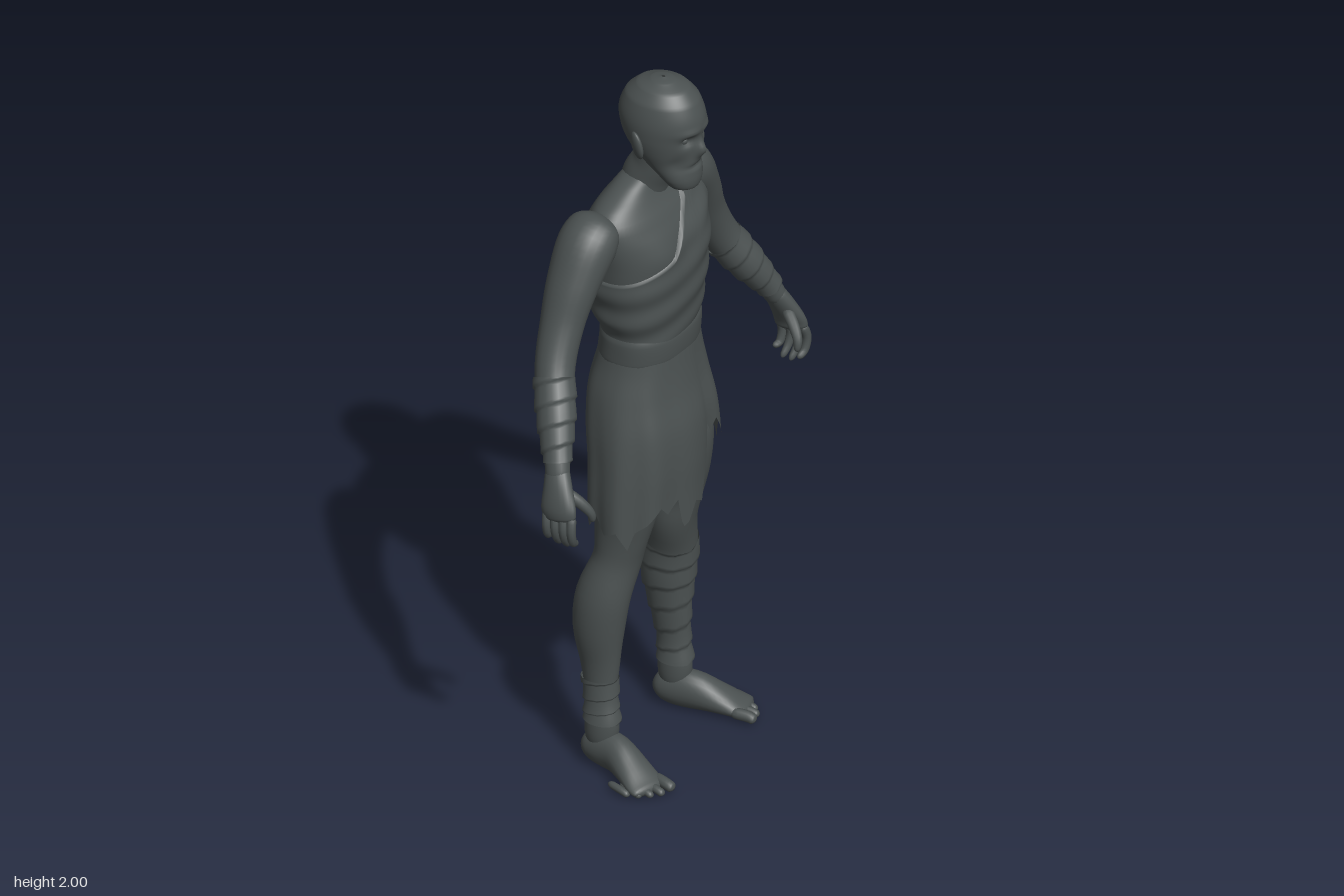
import * as THREE from 'three';

const stone = new THREE.MeshStandardMaterial({ color: 0x4b5151, side: THREE.DoubleSide });
stone.name = 'darkSlate';

// Closed surface: fn(angle, v) gives a point, rings run from v = 0 to v = 1
function surface(name, fn, nu, nv) {
  const pos = [], idx = [];
  for (let j = 0; j <= nv; j++)
    for (let i = 0; i < nu; i++) pos.push(...fn(-Math.PI + (i / nu) * Math.PI * 2, j / nv));
  for (let j = 0; j < nv; j++)
    for (let i = 0; i < nu; i++) {
      const k = (i + 1) % nu, a = j * nu + i, b = j * nu + k, c = a + nu, d = b + nu;
      idx.push(a, c, b, b, c, d);
    }
  const g = new THREE.BufferGeometry();
  g.setAttribute('position', new THREE.Float32BufferAttribute(pos, 3));
  g.setIndex(idx);
  g.computeVertexNormals();
  const m = new THREE.Mesh(g, stone);
  m.name = name;
  return m;
}

// Smooth interpolation of rows whose first column is the key
function sample(rows, y) {
  let i = 0;
  while (i < rows.length - 2 && y > rows[i + 1][0]) i++;
  const at = (k) => rows[Math.min(rows.length - 1, Math.max(0, k))];
  const t = THREE.MathUtils.clamp((y - rows[i][0]) / (rows[i + 1][0] - rows[i][0]), 0, 1);
  return rows[i].slice(1).map((_, n) => {
    const [p, a, b, q] = [at(i - 1), at(i), at(i + 1), at(i + 2)].map((r) => r[n + 1]);
    const v0 = (b - p) / 2, v1 = (q - a) / 2;
    return (2 * a - 2 * b + v0 + v1) * t ** 3 + (-3 * a + 3 * b - 2 * v0 - v1) * t * t + v0 * t + a;
  });
}

const linear = (rows, k) => {
  let i = 0;
  while (i < rows.length - 2 && k > rows[i + 1][0]) i++;
  const [a, b] = [rows[i], rows[i + 1]];
  return THREE.MathUtils.mapLinear(THREE.MathUtils.clamp(k, a[0], b[0]), a[0], b[0], a[1], b[1]);
};

// Point on a body whose rows are [height, back x, front x, half width]
function around(rows, th, y, off = 0, p = 0.88) {
  const [b, f, w] = sample(rows, y);
  const se = (t) => Math.sign(t) * Math.abs(t) ** p;
  return [(b + f) / 2 + ((f - b) / 2 + off) * se(Math.cos(th)), y, (w + off) * se(Math.sin(th))];
}

const bump = (d, s) => Math.exp(-((d / s) ** 2));

// Swept limb: points are [x, y, z, radius along ref, radius across]
function limb(name, pts, { ref = [1, 0, 0], s = 1, nu = 20, nv = 40, from = 0, to = 1, grow = 0, turns = 0, cap = 0.08 } = {}) {
  const path = new THREE.CatmullRomCurve3(pts.map((p) => new THREE.Vector3(p[0], p[1], p[2] * s)), false, 'catmullrom');
  const size = new THREE.CatmullRomCurve3(pts.map((p) => new THREE.Vector3(p[3], p[4], 0)), false, 'catmullrom');
  const round = (v) => (v < cap ? Math.sqrt(Math.max(0, 1 - (1 - v / cap) ** 2)) : 1);
  return surface(name, (th, v) => {
    const w = turns ? v : 0.5 - 0.5 * Math.cos(Math.PI * v);
    const t = from + (to - from) * w;
    const dir = path.getTangent(t), fwd = new THREE.Vector3(...ref);
    fwd.addScaledVector(dir, -fwd.dot(dir)).normalize();
    const side = fwd.clone().cross(dir), r = size.getPoint(t);
    const ridge = turns ? 0.006 * ((((w * turns + th / 6.2832) % 1) + 1) % 1) : 0;
    const e = turns ? 1 : round(w) * round(1 - w);
    return path.getPoint(t)
      .addScaledVector(fwd, (r.x + grow + ridge) * e * Math.cos(th))
      .addScaledVector(side, (r.y + grow + ridge) * e * Math.sin(th)).toArray();
  }, nu, nv);
}

const TORSO = [
  [0.9, -0.03, 0.0, 0.01], [0.92, -0.09, 0.06, 0.07], [0.98, -0.135, 0.09, 0.14], [1.1, -0.145, 0.085, 0.165],
  [1.2, -0.122, 0.076, 0.142], [1.26, -0.115, 0.078, 0.142], [1.33, -0.14, 0.088, 0.16], [1.42, -0.165, 0.095, 0.176],
  [1.5, -0.166, 0.09, 0.188], [1.57, -0.155, 0.074, 0.2], [1.62, -0.135, 0.05, 0.2], [1.655, -0.115, 0.028, 0.172],
  [1.685, -0.096, 0.015, 0.118], [1.705, -0.083, 0.01, 0.08], [1.72, -0.06, 0, 0.04]];
const SKIRT = [
  [0.68, -0.13, 0.12, 0.215], [0.8, -0.137, 0.122, 0.212], [0.9, -0.143, 0.125, 0.205], [1.0, -0.156, 0.12, 0.195],
  [1.1, -0.156, 0.1, 0.178], [1.2, -0.134, 0.088, 0.153], [1.25, -0.122, 0.084, 0.148]];
const HEAD = [
  [1.695, 0.08, 0.1, 0.005], [1.705, 0.045, 0.12, 0.042], [1.73, 0.02, 0.126, 0.058], [1.77, -0.03, 0.125, 0.071],
  [1.81, -0.07, 0.127, 0.084], [1.85, -0.092, 0.131, 0.092], [1.9, -0.1, 0.135, 0.093], [1.95, -0.082, 0.118, 0.081],
  [1.98, -0.05, 0.09, 0.057], [1.995, -0.012, 0.05, 0.027], [2.0, 0.015, 0.025, 0.004]];
// Ragged hem height by angle in degrees, with an open slit at the front
const HEM = [
  [-180, 0.73], [-165, 0.76], [-150, 0.72], [-135, 0.76], [-120, 0.73], [-105, 0.79], [-92, 0.77], [-75, 0.85], [-62, 0.82],
  [-50, 0.9], [-40, 0.88], [-28, 0.95], [-18, 0.93], [-14, 0.96], [-9, 0.84], [-4, 0.75], [2, 0.77], [8, 0.72], [13, 0.71],
  [18, 0.8], [28, 0.77], [36, 0.8], [50, 0.76], [62, 0.74], [70, 0.69], [82, 0.74], [95, 0.72], [108, 0.76], [120, 0.72],
  [135, 0.76], [150, 0.72], [165, 0.75], [180, 0.73]];
// Upper edge of the one-shoulder wrap, by sideways position
const WRAP = [[-0.21, 1.5], [-0.16, 1.54], [-0.125, 1.67], [-0.07, 1.69], [-0.04, 1.63], [0.06, 1.51], [0.21, 1.45]];

const LEG = [
  [-0.02, 1.0, 0.095, 0.1, 0.088], [-0.015, 0.88, 0.108, 0.103, 0.082], [-0.015, 0.78, 0.116, 0.09, 0.074],
  [-0.025, 0.68, 0.123, 0.073, 0.061], [-0.036, 0.6, 0.127, 0.063, 0.063], [-0.06, 0.5, 0.154, 0.072, 0.063],
  [-0.07, 0.4, 0.16, 0.069, 0.058], [-0.065, 0.3, 0.161, 0.054, 0.042], [-0.058, 0.2, 0.167, 0.042, 0.033],
  [-0.055, 0.12, 0.168, 0.047, 0.037], [-0.06, 0.03, 0.168, 0.042, 0.034]];
const FOOT = [
  [-0.115, 0.04, 0.162, 0.03, 0.03], [-0.06, 0.05, 0.167, 0.05, 0.04], [0, 0.052, 0.178, 0.052, 0.042],
  [0.06, 0.036, 0.2, 0.036, 0.048], [0.11, 0.02, 0.22, 0.02, 0.052], [0.135, 0.015, 0.228, 0.013, 0.045]];
const ARM = [
  [-0.06, 1.635, 0.15, 0.06, 0.04], [-0.065, 1.59, 0.215, 0.078, 0.07], [-0.07, 1.5, 0.278, 0.07, 0.06],
  [-0.072, 1.4, 0.325, 0.058, 0.053], [-0.06, 1.3, 0.376, 0.052, 0.05], [-0.02, 1.2, 0.432, 0.048, 0.045],
  [0.018, 1.11, 0.484, 0.034, 0.03], [0.035, 1.05, 0.508, 0.034, 0.025]];
const PALM = [
  [0.02, 1.1, 0.488, 0.03, 0.025], [0.038, 1.05, 0.512, 0.04, 0.025], [0.052, 1.0, 0.53, 0.05, 0.022],
  [0.06, 0.965, 0.532, 0.046, 0.018]];

function head() {
  const g = new THREE.Group();
  g.name = 'head';
  g.add(surface('skull', (th, v) => {
    const y = 1.8475 - 0.1525 * Math.cos(Math.PI * v);
    const p = around(HEAD, th, y, 0, 1), z = Math.abs(p[2]);
    if (Math.cos(th) > 0) {
      p[0] -= 0.014 * bump(z - 0.036, 0.017) * bump(y - 1.855, 0.014); // eye sockets
      p[0] += 0.006 * bump(z - 0.035, 0.03) * bump(y - 1.88, 0.01); // brows
      p[0] += 0.021 * bump(z, 0.013) * bump(y - 1.822, 0.022); // nose
      p[0] -= 0.008 * bump(z, 0.03) * bump(y - 1.771, 0.007); // mouth
      p[0] -= 0.01 * bump(z - 0.055, 0.018) * bump(y - 1.785, 0.025); // hollow cheeks
    }
    return p;
  }, 88, 72));
  for (const s of [1, -1]) {
    const ear = new THREE.Mesh(new THREE.SphereGeometry(1, 16, 12), stone);
    ear.name = 'ear';
    ear.scale.set(0.023, 0.042, 0.011);
    ear.position.set(0.005, 1.84, 0.099 * s);
    ear.rotation.set(0.2 * s, -0.45 * s, 0.12);
    const eye = new THREE.Mesh(new THREE.SphereGeometry(0.011, 14, 10), stone);
    eye.name = 'eye';
    eye.position.set(0.104, 1.856, 0.036 * s);
    g.add(ear, eye);
  }
  g.add(limb('neck', [[-0.05, 1.6, 0, 0.06, 0.07], [-0.03, 1.69, 0, 0.062, 0.066], [-0.002, 1.75, 0, 0.058, 0.06], [0.015, 1.82, 0, 0.06, 0.06]]));
  return g;
}

function leg(s) {
  const g = new THREE.Group();
  g.name = s > 0 ? 'rightLeg' : 'leftLeg';
  g.add(limb('leg', LEG, { s, nu: 28, nv: 60 }));
  g.add(limb('foot', FOOT, { s, ref: [0, 1, 0], nu: 24, nv: 30, cap: 0.12 }));
  [[0.175, 0.188, 0.015], [0.165, 0.218, 0.011], [0.146, 0.24, 0.01], [0.122, 0.258, 0.01], [0.094, 0.27, 0.01]].forEach(([x, z, r]) =>
    g.add(limb('toe', [[x - 0.07, r + 0.008, z - 0.012, r, r], [x - 0.025, r + 0.006, z - 0.002, r, r], [x, r, z, r * 0.85, r]],
      { s, ref: [0, 1, 0], nu: 10, nv: 12, cap: 0.2 })));
  // cloth bandage, longer on one shin
  g.add(limb('shinWrap', LEG, { s, nu: 28, nv: 48, from: s > 0 ? 0.74 : 0.48, to: 0.88, grow: 0.002, turns: s > 0 ? 3 : 6 }));
  return g;
}

function arm(s) {
  const g = new THREE.Group();
  g.name = s > 0 ? 'rightArm' : 'leftArm';
  g.add(limb('arm', ARM, { s, nu: 24, nv: 50 }));
  g.add(limb('forearmWrap', ARM, { s, from: 0.6, to: 0.87, grow: 0.001, turns: 4, nv: 36 }));
  g.add(limb('palm', PALM, { s, cap: 0.15 }));
  // four curled fingers and a thumb
  [[0.018, 0.91], [0.043, 0.885], [0.068, 0.885], [0.092, 0.9]].forEach(([x, y]) =>
    g.add(limb('finger', [[x, 0.99, 0.53, 0.012, 0.013], [x + 0.005, 0.95, 0.541, 0.012, 0.012],
      [x + 0.004, 0.915, 0.532, 0.011, 0.011], [x, y, 0.508, 0.008, 0.008]], { s, nu: 10, nv: 16, cap: 0.12 })));
  g.add(limb('thumb', [[0.055, 1.04, 0.508, 0.016, 0.016], [0.09, 1.01, 0.49, 0.015, 0.015],
    [0.112, 0.98, 0.476, 0.012, 0.012], [0.115, 0.95, 0.468, 0.008, 0.008]], { s, nu: 10, nv: 16, cap: 0.12 }));
  return g;
}

export function createModel() {
  const g = new THREE.Group();
  g.name = 'figure';
  // torso with chest muscles and a spine groove
  const torso = (th, y, off = 0) => {
    const p = around(TORSO, th, y, off), z = Math.abs(p[2]);
    if (Math.cos(th) > 0) p[0] += 0.01 * bump(z - 0.085, 0.06) * bump(y - 1.52, 0.05);
    else p[0] += 0.01 * bump(z, 0.025) * bump(y - 1.42, 0.16);
    return p;
  };
  g.add(surface('torso', (th, v) => torso(th, 0.9 + 0.82 * v), 64, 64));
  g.add(surface('chestWrap', (th, v) => {
    const top = linear(WRAP, around(TORSO, th, 1.5)[2]);
    const y = 1.26 + (top - 1.26) * v;
    const fold = 0.003 * Math.sin(y * 70 + Math.sin(th) * 3);
    return torso(th, y, v === 1 ? 0 : 0.008 + fold);
  }, 96, 44));
  // waist sash and ragged skirt
  g.add(surface('sash', (th, v) => around(TORSO, th, 1.19 + 0.085 * v, 0.006 + 0.008 * Math.sin(Math.PI * v) ** 0.5), 64, 10));
  g.add(surface('skirt', (th, v) => {
    const hem = linear(HEM, THREE.MathUtils.radToDeg(th));
    const y = hem + (1.235 - hem) * v;
    return around(SKIRT, th, y, 0.005 * Math.sin(th * 9 + 1) * (1 - v));
  }, 180, 30));
  g.add(head());
  for (const s of [1, -1]) g.add(leg(s), arm(s));
  return g;
}
